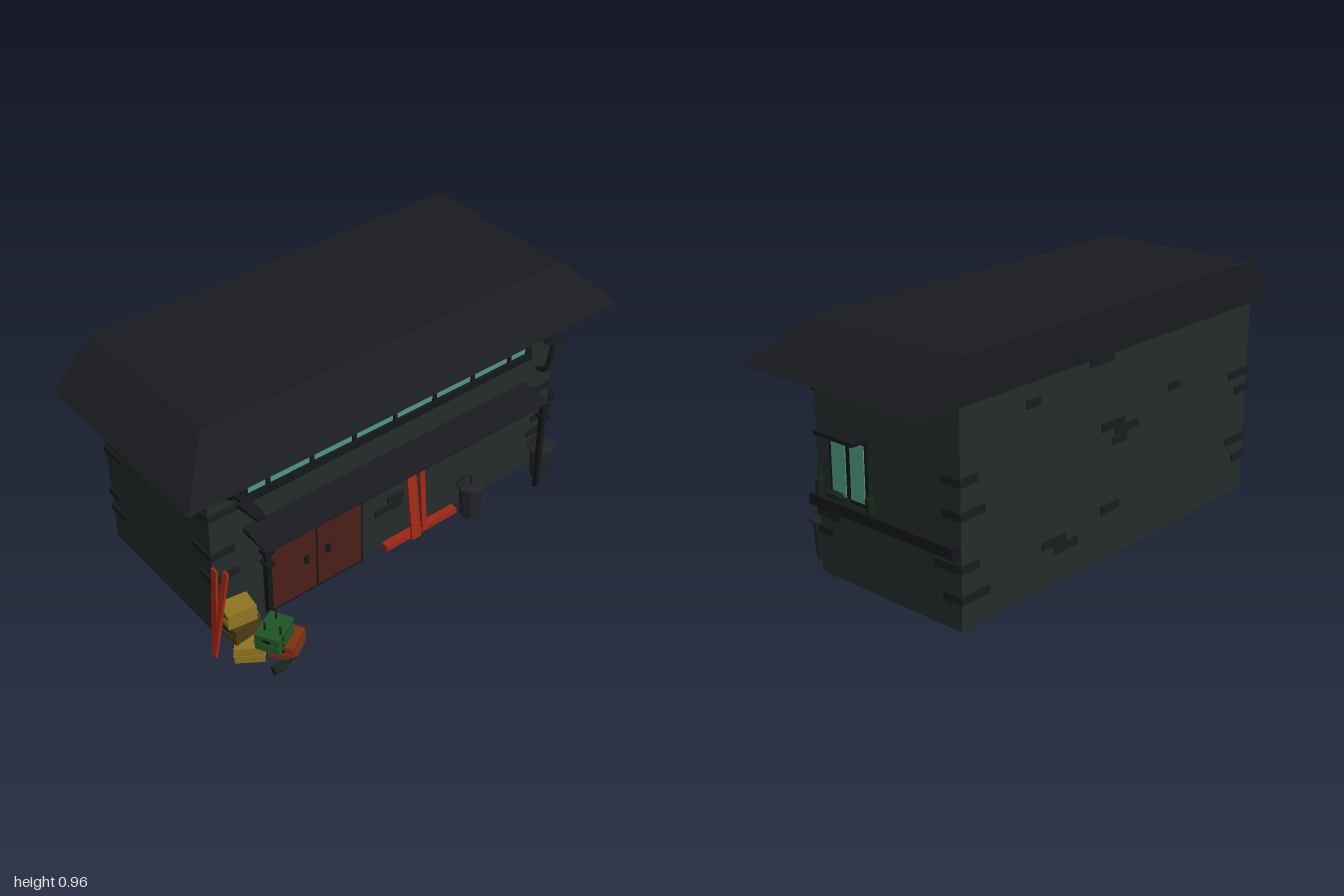
import * as THREE from 'three';

const C = { wall: 0x232c29, roof: 0x1a1b20, trim: 0x15171a, brick: 0x191d1f, glass: 0x4c9a83, door: 0x4a1f18,
  plank: 0xa02814, bin: 0x222428, orange: 0x7c3012, green: 0x1f5526, yellow: 0x8f7420, ochre: 0x4a3d12,
  bottle: 0x142418, lamp: 0x9a7c40 };
const mats = {};
const mat = (c) => (mats[c] ??= new THREE.MeshStandardMaterial({ color: C[c], flatShading: true, side: THREE.DoubleSide }));

export function createModel() {
  const root = new THREE.Group();
  const add = (name, geo, color, x = 0, y = 0, z = 0, parent = root) => {
    const m = new THREE.Mesh(geo, mat(color));
    m.name = name;
    m.position.set(x, y, z);
    parent.add(m);
    return m;
  };
  // Box given by its extents
  const span = (name, color, x0, x1, y0, y1, z0, z1, parent) =>
    add(name, new THREE.BoxGeometry(x1 - x0, y1 - y0, z1 - z0), color, (x0 + x1) / 2, (y0 + y1) / 2, (z0 + z1) / 2, parent);
  // Box beam running from a to b
  const beam = (name, color, a, b, w, d) => {
    const p = new THREE.Vector3(...a), q = new THREE.Vector3(...b), dir = q.clone().sub(p);
    const m = add(name, new THREE.BoxGeometry(w, dir.length(), d), color);
    m.position.copy(p).add(q).multiplyScalar(0.5);
    m.quaternion.setFromUnitVectors(new THREE.Vector3(0, 1, 0), dir.normalize());
    return m;
  };
  const group = (name, x, y, z) => {
    const g = new THREE.Group();
    g.name = name;
    g.position.set(x, y, z);
    root.add(g);
    return g;
  };
  const W = 0.83, F = 0.205, B = -0.495;

  // Walls and the roof, which slopes on the front and both ends
  span('walls', 'wall', -W, W, 0, 0.79, B, F);
  const roof = new THREE.BoxGeometry(2, 0.17, 0.865);
  const rp = roof.attributes.position;
  for (let i = 0; i < rp.count; i++) {
    if (rp.getY(i) < 0) continue;
    rp.setX(i, Math.sign(rp.getX(i)) * W);
    if (rp.getZ(i) > 0) rp.setZ(i, 0.2675);
  }
  add('roof', roof, 'roof', 0, 0.875, -0.0625);

  // Long front window
  span('frontGlass', 'glass', -0.675, 0.675, 0.6, 0.71, F, F + 0.006);
  span('windowHead', 'trim', -0.695, 0.695, 0.705, 0.73, F, F + 0.015);
  span('windowSill', 'trim', -0.695, 0.695, 0.575, 0.605, F, F + 0.02);
  for (const s of [-1, 1]) span('windowJamb', 'trim', s * 0.682 - 0.013, s * 0.682 + 0.013, 0.6, 0.71, F, F + 0.015);
  for (let i = -3; i <= 3; i++) span('windowMullion', 'trim', i * 0.193 - 0.009, i * 0.193 + 0.009, 0.6, 0.71, F, F + 0.012);

  // Sloping canopy on two posts
  const slope = new THREE.Shape([[F, 0.432], [0.345, 0.43], [0.345, 0.438], [F, 0.457]].map((p) => new THREE.Vector2(...p)));
  const canopy = add('canopy', new THREE.ExtrudeGeometry(slope, { depth: 1.38, bevelEnabled: false }), 'roof', 0.69);
  canopy.rotation.y = -Math.PI / 2;
  for (const x of [-0.675, 0.675]) {
    span('canopyPost', 'trim', x - 0.01, x + 0.01, 0, 0.432, 0.317, 0.337);
    span('postCollar', 'trim', x - 0.017, x + 0.017, 0.36, 0.373, 0.303, 0.35);
    span('postCap', 'trim', x - 0.02, x + 0.02, 0.415, 0.432, 0.307, 0.347);
  }

  // Double door with a gabled surround and a lamp above
  const gable = new THREE.Shape([[-0.225, 0], [0.225, 0], [0.225, 0.33], [0.07, 0.375], [0.025, 0.43], [-0.025, 0.43],
    [-0.07, 0.375], [-0.225, 0.33]].map((p) => new THREE.Vector2(...p)));
  add('doorSurround', new THREE.ExtrudeGeometry(gable, { depth: 0.025, bevelEnabled: false }), 'trim', -0.39, 0, F);
  for (const s of [-1, 1]) {
    const cx = -0.39 + s * 0.108;
    span('doorLeaf', 'door', cx - 0.103, cx + 0.103, 0.015, 0.322, 0.22, 0.235);
    span('doorHandle', 'trim', -0.39 + s * 0.05 - 0.01, -0.39 + s * 0.05 + 0.01, 0.16, 0.195, 0.23, 0.242);
  }
  const shade = new THREE.Shape([[-0.052, 0.345], [0.052, 0.345], [0.052, 0.37], [0.02, 0.413], [-0.02, 0.413], [-0.052, 0.37]]
    .map((p) => new THREE.Vector2(...p)));
  add('doorLamp', new THREE.ExtrudeGeometry(shade, { depth: 0.01, bevelEnabled: false }), 'lamp', -0.39, 0, 0.228);

  // Left side window, hood and ledge
  span('sideFrame', 'trim', W, W + 0.008, 0.32, 0.57, -0.065, 0.13);
  for (const z of [0.08, -0.015]) span('sidePane', 'glass', W, W + 0.012, 0.337, 0.55, z - 0.035, z + 0.035);
  span('sideHood', 'trim', W, 0.905, 0.568, 0.583, -0.066, 0.131);
  span('sideLedge', 'trim', W, 0.875, 0.28, 0.32, B, F);

  // Bottles
  const bottleGeo = new THREE.LatheGeometry([[0, 0], [0.018, 0], [0.018, 0.055], [0.007, 0.068], [0.007, 0.1], [0, 0.1]]
    .map((p) => new THREE.Vector2(...p)), 6);
  for (const z of [0.168, -0.09]) add('ledgeBottle', bottleGeo, 'bottle', 0.853, 0.32, z);
  add('lyingBottle', bottleGeo, 'bottle', 0.853, 0.336, 0.12).rotation.x = -Math.PI / 2;
  add('groundBottle', bottleGeo, 'bottle', -0.78, 0.018, 0.483).rotation.z = -Math.PI / 2;

  // Corner bricks wrapping two walls: side, front or back, bottom y, length in x, length in z
  const T = 0.006;
  for (const [sx, sz, y, lx, lz] of [
    [-1, 1, 0.555, 0.12, 0.08], [-1, 1, 0.375, 0.1, 0.11], [-1, 1, 0.26, 0.11, 0.08],
    [1, 1, 0.225, 0.09, 0.115], [1, 1, 0.157, 0.11, 0.075],
    [1, -1, 0.52, 0.08, 0.08], [1, -1, 0.402, 0.11, 0.08], [1, -1, 0.212, 0.08, 0.12], [1, -1, 0.1, 0.13, 0.08],
    [-1, -1, 0.5, 0.13, 0.09], [-1, -1, 0.43, 0.08, 0.12], [-1, -1, 0.22, 0.13, 0.08], [-1, -1, 0.14, 0.08, 0.11]]) {
    const zc = sz > 0 ? F : B;
    add('cornerBrickAcross', new THREE.BoxGeometry(lx + T, 0.031, 2 * T), 'brick', sx * (W + T / 2 - lx / 2), y + 0.015, zc);
    add('cornerBrickAlong', new THREE.BoxGeometry(2 * T, 0.031, lz + T), 'brick', sx * W, y + 0.015, zc - sz * (lz - T) / 2);
  }
  // Single bricks on the front and back walls: centre x, centre y, width
  for (const [x, y, w] of [[0.015, 0.217, 0.08], [-0.02, 0.178, 0.135], [0.765, 0.385, 0.125]])
    add('frontBrick', new THREE.BoxGeometry(w, 0.031, 2 * T), 'brick', x, y, F);
  for (const [x, y, w] of [[0.475, 0.717, 0.07], [0.18, 0.815, 0.14], [0.11, 0.78, 0.13], [0.04, 0.52, 0.13], [-0.04, 0.49, 0.13],
    [0.0, 0.455, 0.08], [-0.33, 0.575, 0.07], [0.365, 0.17, 0.13], [0.3, 0.135, 0.13], [0.05, 0.2, 0.1]])
    add('backBrick', new THREE.BoxGeometry(w, 0.031, 2 * T), 'brick', x, y, B);

  // Planks leaning on the front and by the right corner
  beam('frontPlank', 'plank', [0.08, 0.005, 0.262], [0.08, 0.37, 0.212], 0.045, 0.01);
  beam('frontPlank', 'plank', [0.132, 0.005, 0.25], [0.132, 0.375, 0.217], 0.024, 0.01);
  span('groundPlank', 'plank', -0.06, 0.305, 0, 0.027, 0.218, 0.25);
  beam('sidePlank', 'plank', [-0.9, 0.012, 0.288], [-0.825, 0.38, 0.288], 0.01, 0.027);
  beam('sidePlank', 'plank', [-0.87, 0.012, 0.246], [-0.845, 0.375, 0.246], 0.01, 0.03);

  // Dustbins
  const binGeo = new THREE.LatheGeometry([[0, 0], [0.039, 0], [0.05, 0.148], [0.06, 0.148], [0.06, 0.158], [0.035, 0.17], [0, 0.172]]
    .map((p) => new THREE.Vector2(...p)), 8);
  for (const x of [0.345, 0.738]) {
    const g = group('dustbin', x, 0, 0.285);
    add('binBody', binGeo, 'bin', 0, 0, 0, g);
    add('binHandle', new THREE.TorusGeometry(0.02, 0.004, 4, 6, Math.PI), 'trim', 0, 0.166, 0, g).rotation.y = 0.8;
  }

  // Stacked crates, each with a rim band and hand slots
  for (const [color, x, y, z, w, h, d, r] of [
    ['orange', -0.67, 0, 0.415, 0.115, 0.07, 0.1, 0.55], ['yellow', -0.785, 0, 0.345, 0.11, 0.07, 0.1, -0.6],
    ['green', -0.715, 0.07, 0.405, 0.13, 0.07, 0.095, 0.5], ['ochre', -0.785, 0.07, 0.29, 0.12, 0.07, 0.1, 0.1],
    ['yellow', -0.79, 0.14, 0.29, 0.115, 0.066, 0.085, -0.15]]) {
    const g = group('crate', x, y, z);
    g.rotation.y = r;
    span('crateBody', color, -w / 2, w / 2, 0, h, -d / 2, d / 2, g);
    span('crateBand', color, -w / 2 - 0.003, w / 2 + 0.003, h * 0.45, h * 0.52, -d / 2 - 0.003, d / 2 + 0.003, g);
    span('crateSlot', 'trim', -w / 2 - 0.002, w / 2 + 0.002, h * 0.62, h * 0.82, -0.015, 0.015, g);
  }
  for (const [x, z] of [[-0.72, 0.452], [-0.75, 0.398], [-0.685, 0.378]])
    add('crateBottle', bottleGeo, 'bottle', x, 0.075, z).scale.set(0.6, 1, 0.6);

  // Wall lamp on a bent pipe
  const bends = [[F, 0.5], [0.23, 0.503], [0.255, 0.52], [0.272, 0.585], [0.283, 0.67]].map(([z, y]) => new THREE.Vector3(0.75, y, z));
  const path = new THREE.CurvePath();
  for (let i = 1; i < bends.length; i++) path.add(new THREE.LineCurve3(bends[i - 1], bends[i]));
  add('lampPipe', new THREE.TubeGeometry(path, 20, 0.011, 6), 'trim');
  add('lampCollar', new THREE.CylinderGeometry(0.026, 0.022, 0.01, 8), 'trim', 0.75, 0.663, 0.283);
  add('lampNeck', new THREE.CylinderGeometry(0.022, 0.015, 0.03, 8), 'trim', 0.75, 0.676, 0.283);
  add('lampHat', new THREE.ConeGeometry(0.053, 0.042, 8), 'trim', 0.75, 0.7, 0.285);

  // Floodlight on a bracket
  beam('floodArm', 'trim', [-0.765, 0.66, F], [-0.765, 0.7, 0.285], 0.025, 0.03);
  beam('floodNeck', 'trim', [-0.765, 0.705, 0.27], [-0.765, 0.706, 0.34], 0.02, 0.015);
  add('floodPlate', new THREE.BoxGeometry(0.05, 0.06, 0.012), 'trim', -0.765, 0.665, F + 0.006);
  const head = new THREE.CylinderGeometry(0.008, 0.013, 0.105, 4, 1).rotateY(Math.PI / 4).rotateX(Math.PI / 2).scale(3, 1, 1);
  add('floodHead', head, 'trim', -0.765, 0.704, 0.388);

  return root;
}
